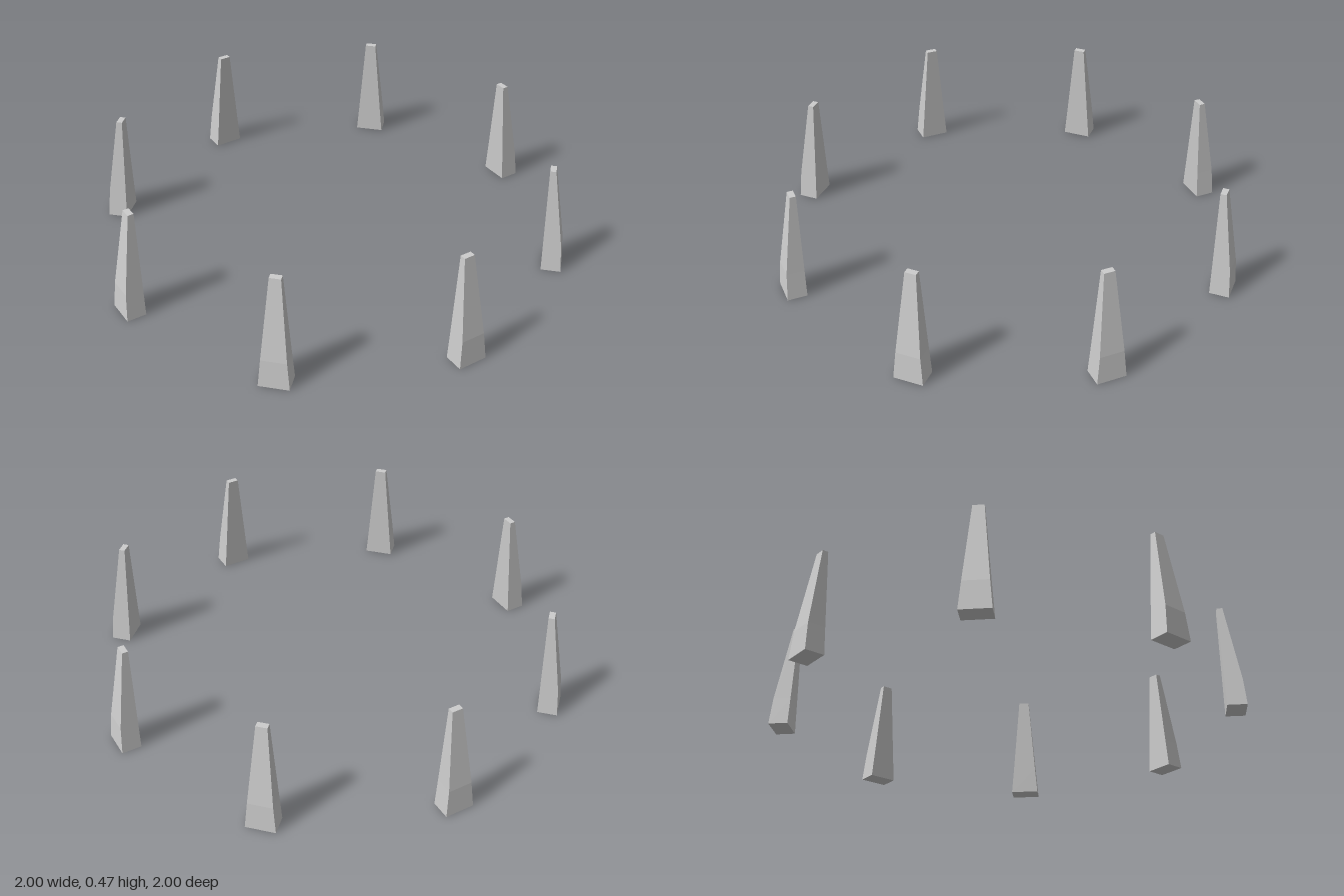
import * as THREE from 'three';

// Post cross-sections: height, inner radius, outer radius, tangential width
const SECTIONS = [
  { y: 0, inner: 0.922, outer: 1.005, width: 0.124 },
  { y: 0.12, inner: 0.92, outer: 0.995, width: 0.103 },
  { y: 0.467, inner: 0.914, outer: 0.939, width: 0.046 },
];
const COUNT = 8;
const TURN = THREE.MathUtils.degToRad(10);

// Tapered post: upright inner face, outer face bending inward above the foot
function postGeometry() {
  const box = new THREE.BoxGeometry(1, 2, 1, 1, 2, 1);
  const pos = box.attributes.position;
  for (let i = 0; i < pos.count; i++) {
    const s = SECTIONS[Math.round(pos.getY(i)) + 1];
    pos.setXYZ(i, pos.getX(i) * s.width, s.y, pos.getZ(i) > 0 ? s.outer : s.inner);
  }
  const geometry = box.toNonIndexed();
  geometry.computeVertexNormals();
  return geometry;
}

export function createModel() {
  const group = new THREE.Group();
  group.name = 'postRing';
  const material = new THREE.MeshStandardMaterial({ color: 0xcccccc, flatShading: true });
  const geometry = postGeometry();

  // Evenly spaced ring of posts
  for (let i = 0; i < COUNT; i++) {
    const post = new THREE.Mesh(geometry, material);
    post.name = `post${i + 1}`;
    post.rotation.y = TURN + (i * Math.PI * 2) / COUNT;
    group.add(post);
  }
  return group;
}
